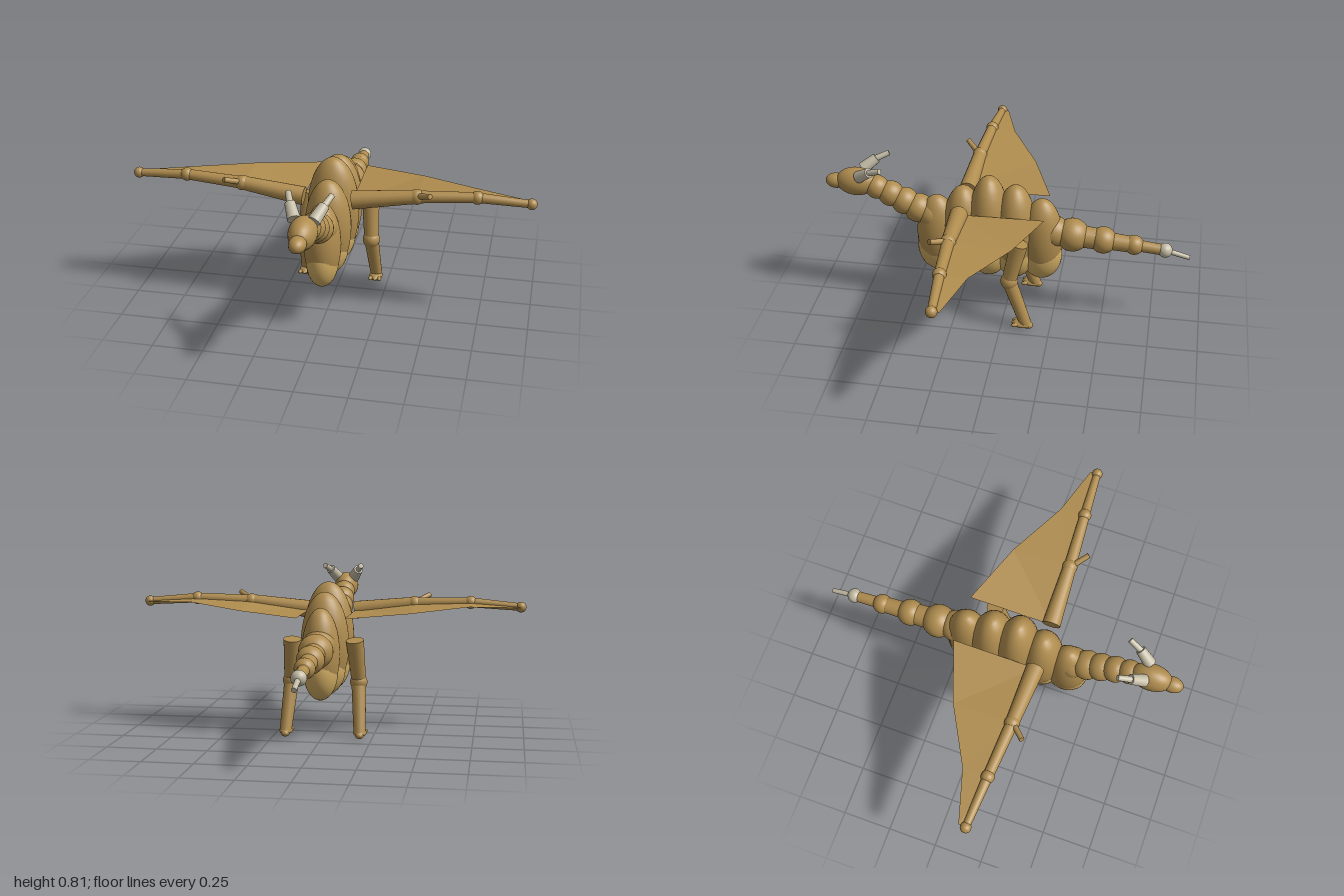
import * as THREE from 'three';

const mat = (name, color) => Object.assign(new THREE.MeshStandardMaterial({ color }), { name });
const V = (p) => new THREE.Vector3(...p);

export function createModel() {
  const hide = mat('tan hide', 0xb08d4f);
  const bellyMat = mat('pale belly', 0xcfab62);
  const horn = mat('grey horn', 0xc4bca6);
  const membraneMat = mat('wing membrane', 0xb08d4f);
  membraneMat.side = THREE.DoubleSide;
  const model = new THREE.Group();
  model.name = 'wingedBeast';

  const add = (parent, name, geometry, material) => {
    const mesh = new THREE.Mesh(geometry, material);
    mesh.name = name;
    parent.add(mesh);
    return mesh;
  };
  // Ellipsoid at p with radii r (a number makes a ball)
  const ball = (parent, name, p, r, material = hide) => {
    const mesh = add(parent, name, new THREE.SphereGeometry(1, 28, 18), material);
    mesh.position.set(...p);
    mesh.scale.set(...(Array.isArray(r) ? r : [r, r, r]));
    return mesh;
  };
  // Tapered rod from a to b
  const rod = (parent, name, a, b, ra, rb, material = hide) => {
    const from = V(a), to = V(b), dir = to.clone().sub(from);
    const mesh = add(parent, name, new THREE.CylinderGeometry(rb, ra, dir.length(), 18), material);
    mesh.position.copy(from).lerp(to, 0.5);
    mesh.quaternion.setFromUnitVectors(new THREE.Vector3(0, 1, 0), dir.normalize());
    return mesh;
  };

  // Torso: tall ribs, each with a paler belly lobe: z, top, half width, belly half width
  const ribs = [
    [0.355, 0.635, 0.09, 0.08],
    [0.22, 0.7, 0.115, 0.1],
    [0.09, 0.765, 0.13, 0.11],
    [-0.045, 0.725, 0.122, 0.105],
    [-0.18, 0.66, 0.095, 0.085],
  ];
  for (const [z, top, rx, bx] of ribs) {
    const low = 0.205;
    ball(model, 'bodyRib', [0, (top + low) / 2, z], [rx, (top - low) / 2, 0.105]);
    ball(model, 'bellyLobe', [0, 0.34, z], [bx, 0.14, 0.105], bellyMat);
  }

  // Neck beads: z, y, radius
  const neck = [
    [0.38, 0.525, 0.078], [0.45, 0.553, 0.074], [0.52, 0.588, 0.069],
    [0.59, 0.624, 0.065], [0.66, 0.655, 0.06],
  ];
  for (const [z, y, r] of neck) ball(model, 'neckBead', [0, y, z], r);

  // Head
  ball(model, 'head', [0, 0.68, 0.765], [0.065, 0.073, 0.105]);
  ball(model, 'snout', [0, 0.675, 0.87], [0.04, 0.038, 0.055]);

  // Tail beads joined by rods, with a horny tip
  const tail = [
    [-0.24, 0.48, 0.08], [-0.335, 0.468, 0.085], [-0.49, 0.452, 0.068],
    [-0.645, 0.438, 0.05], [-0.8, 0.422, 0.037],
  ];
  const link = [0.07, 0.058, 0.045, 0.03];
  tail.forEach(([z, y, r], i) => {
    const last = i === tail.length - 1;
    ball(model, last ? 'tailTip' : 'tailBead', [0, y, z], r, last ? horn : hide);
    if (last) return;
    const [nz, ny] = tail[i + 1];
    rod(model, 'tailLink', [0, y, z], [0, ny, nz], link[i], link[i] * 0.92);
  });
  rod(model, 'tailSpike', [0, 0.422, -0.8], [0, 0.39, -0.923], 0.014, 0.012, horn);

  // Paired parts, mirrored across x
  for (const s of [1, -1]) {
    const side = s > 0 ? 'left' : 'right';
    const m = ([x, y, z]) => [s * x, y, z];
    const group = (name) => {
      const g = new THREE.Group();
      g.name = side + name;
      model.add(g);
      return g;
    };

    // Horns: thick base and thin swept tip
    const horns = group('Horn');
    rod(horns, 'hornBase', m([0.045, 0.73, 0.74]), m([0.078, 0.778, 0.675]), 0.031, 0.025, horn);
    rod(horns, 'hornTip', m([0.076, 0.775, 0.68]), m([0.1, 0.802, 0.615]), 0.016, 0.014, horn);

    // Wing arm: root, elbow, wrist, tip
    const wing = group('Wing');
    const arm = [[0.12, 0.605, 0.22], [0.43, 0.645, 0.21], [0.718, 0.658, 0.192], [0.973, 0.64, 0.176]];
    const edge = [[0.12, 0.61, -0.205], [0.43, 0.627, -0.09], [0.715, 0.648, 0.065], [0.972, 0.64, 0.14]];
    const radii = [[0.046, 0.034], [0.031, 0.026], [0.025, 0.019]];
    const joints = [0, 0.038, 0.033, 0.027];
    radii.forEach(([ra, rb], i) => {
      rod(wing, 'wingBone', m(arm[i]), m(arm[i + 1]), ra, rb);
      ball(wing, 'wingJoint', m(arm[i + 1]), joints[i + 1]);
    });
    rod(wing, 'wingClaw', m([0.43, 0.65, 0.215]), m([0.503, 0.685, 0.284]), 0.015, 0.013);

    // Membrane: one panel per bone, creased at the joints
    const tris = [];
    for (let i = 0; i < 3; i++) {
      const [a, b, c, d] = [arm[i], arm[i + 1], edge[i + 1], edge[i]].map(m);
      const quad = s > 0 ? [a, b, c, a, c, d] : [a, c, b, a, d, c];
      tris.push(...quad.flat());
    }
    const skin = new THREE.BufferGeometry();
    skin.setAttribute('position', new THREE.Float32BufferAttribute(tris, 3));
    skin.computeVertexNormals();
    add(wing, 'wingMembrane', skin, membraneMat);

    // Leg with knee ball, flat foot and three toes
    const leg = group('Leg');
    rod(leg, 'thigh', m([0.158, 0.49, -0.088]), m([0.172, 0.28, -0.04]), 0.045, 0.037);
    ball(leg, 'knee', m([0.172, 0.272, -0.04]), 0.044);
    rod(leg, 'shin', m([0.172, 0.272, -0.04]), m([0.188, 0.025, -0.128]), 0.037, 0.03);
    ball(leg, 'foot', m([0.188, 0.027, -0.11]), [0.034, 0.02, 0.05]);
    for (const t of [-1, 0, 1]) {
      const toe = ball(leg, 'toe', m([0.188 + t * 0.02, 0.027, -0.08]), [0.012, 0.011, 0.026]);
      toe.rotation.y = s * t * 0.3;
    }
    ball(leg, 'heel', m([0.188, 0.019, -0.14]), [0.022, 0.018, 0.025]);
  }
  return model;
}
